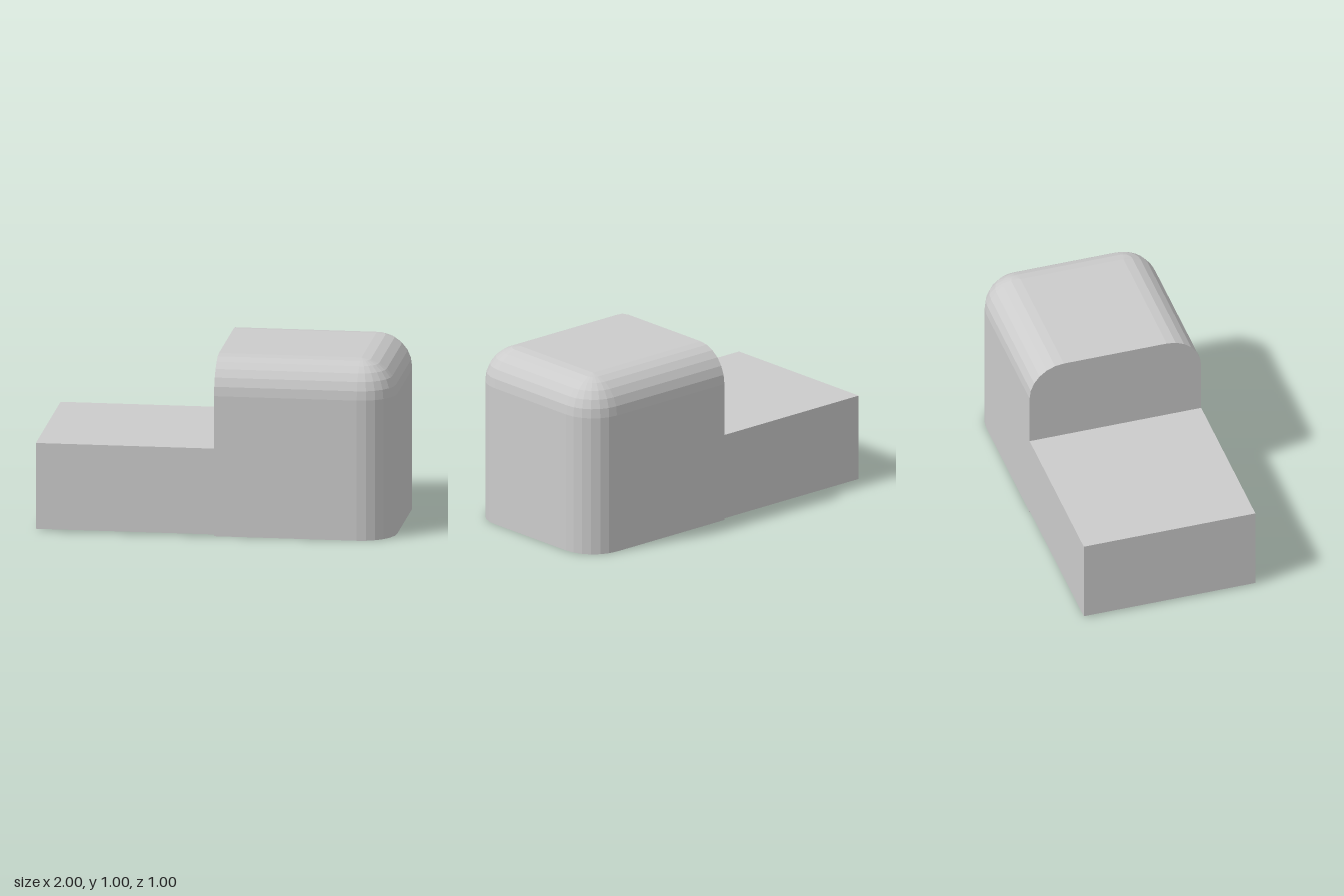
import * as THREE from 'three';

const RADIUS = 0.2;
const SEGMENTS = 6;
const material = new THREE.MeshStandardMaterial({ color: 0xcccccc, flatShading: true });

// Horizontal section of the block: square at x = 0, two rounded corners at x = 1.
function section(y, radius) {
  const z = 0.3 + radius;
  const ring = [new THREE.Vector3(0, y, -z)];
  for (const side of [-1, 1]) {
    for (let i = 0; i <= SEGMENTS; i++) {
      const t = (i / SEGMENTS) * Math.PI / 2;
      const a = side < 0 ? t - Math.PI / 2 : t;
      ring.push(new THREE.Vector3(0.8 + radius * Math.cos(a), y, side * 0.3 + radius * Math.sin(a)));
    }
  }
  ring.push(new THREE.Vector3(0, y, z));
  return ring;
}

// Closed solid skinned over a stack of sections, with a flat cap at each end.
function loft(rings) {
  const points = [];
  const triangle = (a, b, c) => {
    const area = b.clone().sub(a).cross(c.clone().sub(a)).length();
    if (area > 1e-9) points.push(a, b, c);
  };
  const n = rings[0].length;
  for (let r = 0; r < rings.length - 1; r++) {
    const low = rings[r], high = rings[r + 1];
    for (let i = 0; i < n; i++) {
      const j = (i + 1) % n;
      triangle(low[i], high[i], high[j]);
      triangle(low[i], high[j], low[j]);
    }
  }
  const bottom = rings[0], top = rings[rings.length - 1];
  for (let i = 1; i < n - 1; i++) {
    triangle(bottom[0], bottom[i], bottom[i + 1]);
    triangle(top[0], top[i + 1], top[i]);
  }
  const geometry = new THREE.BufferGeometry().setFromPoints(points);
  geometry.computeVertexNormals();
  return geometry;
}

export function createModel() {
  const model = new THREE.Group();

  // Tall block with its top edges and outer corners rounded
  const rings = [section(0, RADIUS)];
  for (let i = 0; i <= SEGMENTS; i++) {
    const a = (i / SEGMENTS) * Math.PI / 2;
    rings.push(section(0.8 + RADIUS * Math.sin(a), RADIUS * Math.cos(a)));
  }
  const block = new THREE.Mesh(loft(rings), material);
  block.name = 'roundedBlock';
  model.add(block);

  // Low square-edged slab, its underside just clear of the ground
  const slab = new THREE.Mesh(new THREE.BoxGeometry(1, 0.49, 1), material);
  slab.name = 'lowSlab';
  slab.position.set(-0.5, 0.255, 0);
  model.add(slab);

  return model;
}
